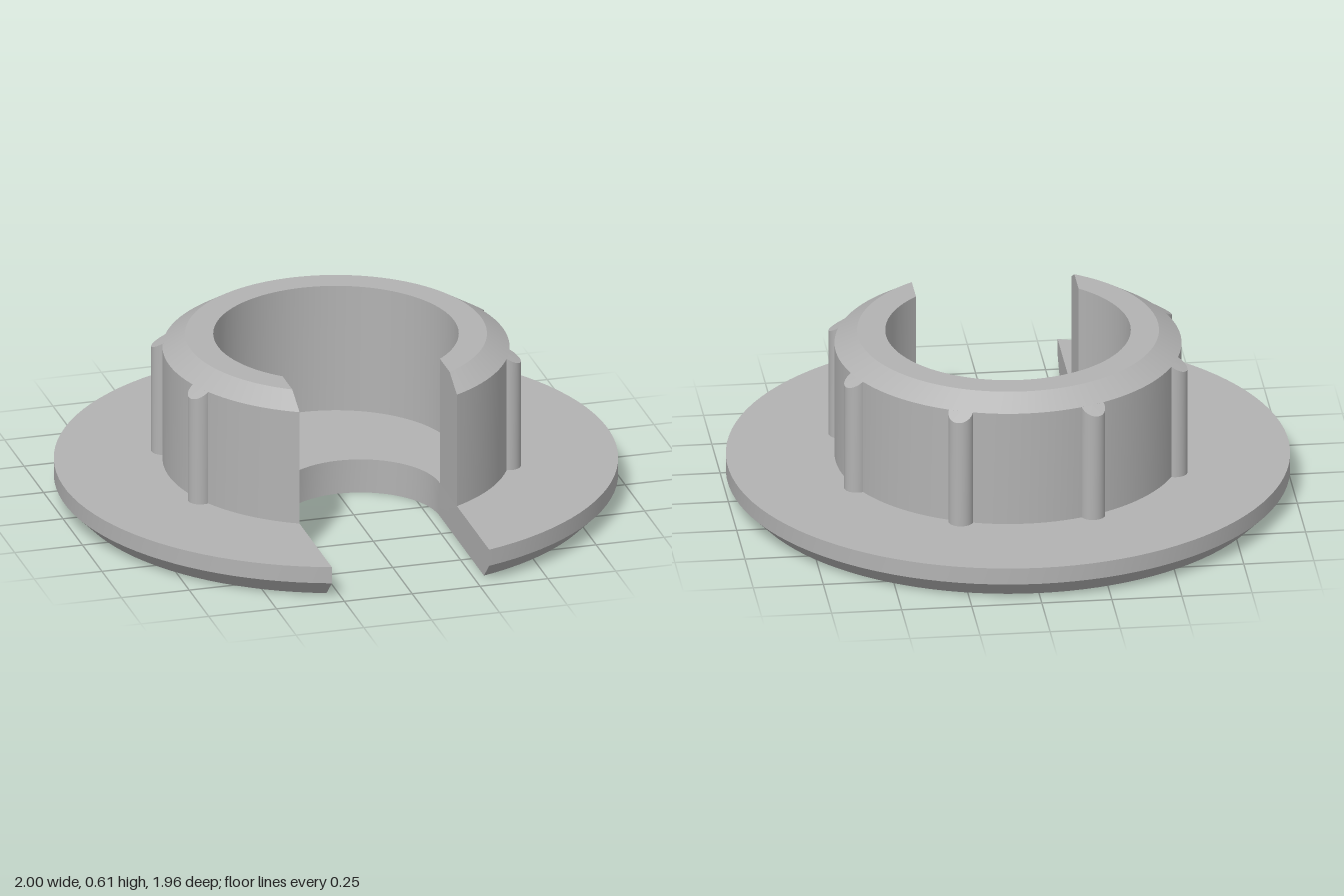
import * as THREE from 'three';
import { toCreasedNormals } from 'three/addons/utils/BufferGeometryUtils.js';

const CZ = 0.0215;      // z of the disc and collar axis
const SLOT = 0.29;      // half width of the slot
const SLOT_Z = 0.338;   // centre of the slot's round end
const FLOOR = 0.127, SHOULDER = 0.555, TOP = 0.605;
const COLLAR_R = 0.615, COLLAR_TOP_R = 0.535;
const CREASE = 0.4;

// Arc around the axis, from one slot wall round the back to the other
function arc(r, y, n = 96) {
  const a = Math.asin(SLOT / r);
  return Array.from({ length: n + 1 }, (_, i) => {
    const t = a + (i / n) * 2 * (Math.PI - a);
    return new THREE.Vector3(r * Math.sin(t), y, CZ + r * Math.cos(t));
  });
}

// Closed outline of the slotted disc
function discOutline(r, y) {
  const pts = arc(r, y);
  for (let i = 0; i <= 32; i++) {
    const t = (i / 32) * Math.PI;
    pts.push(new THREE.Vector3(-SLOT * Math.cos(t), y, SLOT_Z - SLOT * Math.sin(t)));
  }
  pts.push(pts[0].clone());
  return pts;
}

// Skin between successive rows of points, with optional flat ends
function loft(rows, ends) {
  const pos = [];
  const tri = (...pts) => pts.forEach((p) => pos.push(p.x, p.y, p.z));
  for (let i = 0; i < rows.length - 1; i++) {
    for (let j = 0; j < rows[i].length - 1; j++) {
      const a = rows[i][j], b = rows[i][j + 1], c = rows[i + 1][j + 1], d = rows[i + 1][j];
      tri(a, b, c);
      tri(a, c, d);
    }
  }
  if (ends) {
    const last = rows[0].length - 1;
    for (let k = 1; k < rows.length - 1; k++) {
      tri(rows[0][0], rows[k][0], rows[k + 1][0]);
      tri(rows[0][last], rows[k + 1][last], rows[k][last]);
    }
  }
  const g = new THREE.BufferGeometry();
  g.setAttribute('position', new THREE.Float32BufferAttribute(pos, 3));
  return toCreasedNormals(g, CREASE);
}

// Flat face filling an outline, facing up (dir 1) or down (dir -1)
function flatFace(outline, dir) {
  const pts = outline.slice(0, -1).map((p) => new THREE.Vector2(p.x, -dir * p.z));
  return new THREE.ShapeGeometry(new THREE.Shape(pts))
    .rotateX(-dir * Math.PI / 2)
    .translate(0, outline[0].y, 0);
}

// Half-round rib whose top follows the collar's chamfer
function ribGeometry(angle) {
  const h = SHOULDER - FLOOR;
  const g = new THREE.CylinderGeometry(0.044, 0.044, h, 20, 1, false, -1.7, 3.4);
  g.translate(0, FLOOR + h / 2, COLLAR_R);
  const p = g.attributes.position;
  const slope = (TOP - SHOULDER) / (COLLAR_R - COLLAR_TOP_R);
  for (let i = 0; i < p.count; i++) {
    if (p.getY(i) < SHOULDER - 0.01) continue;
    const r = Math.hypot(p.getX(i), p.getZ(i));
    p.setY(i, SHOULDER - (r - COLLAR_R) * slope);
  }
  g.computeVertexNormals();
  return g.rotateY(angle).translate(0, 0, CZ);
}

export function createModel() {
  const model = new THREE.Group();
  model.name = 'slottedBushing';
  const grey = new THREE.MeshStandardMaterial({ color: 0xb2b2b2 });
  grey.name = 'grey';
  const add = (parent, name, geometry) => {
    const mesh = new THREE.Mesh(geometry, grey);
    mesh.name = name;
    parent.add(mesh);
  };

  // Base disc with chamfered lower rim and open slot
  const disc = new THREE.Group();
  disc.name = 'baseDisc';
  const rows = [discOutline(0.935, 0), discOutline(1, 0.065), discOutline(1, FLOOR)];
  add(disc, 'discRim', loft(rows, false));
  add(disc, 'discTop', flatFace(rows[2], 1));
  add(disc, 'discUnderside', flatFace(rows[0], -1));
  model.add(disc);

  // Collar wall, open at the slot
  const profile = [
    [COLLAR_R, FLOOR], [COLLAR_R, SHOULDER], [COLLAR_TOP_R, TOP], [0.435, TOP], [0.435, FLOOR],
  ];
  add(model, 'collar', loft(profile.map(([r, y]) => arc(r, y)), true));

  // Six grip ribs, spaced by an eighth of a turn
  const ribs = new THREE.Group();
  ribs.name = 'ribs';
  for (let i = 0; i < 6; i++) {
    add(ribs, `rib${i + 1}`, ribGeometry(Math.PI * (3 / 8 + i / 4)));
  }
  model.add(ribs);
  return model;
}
